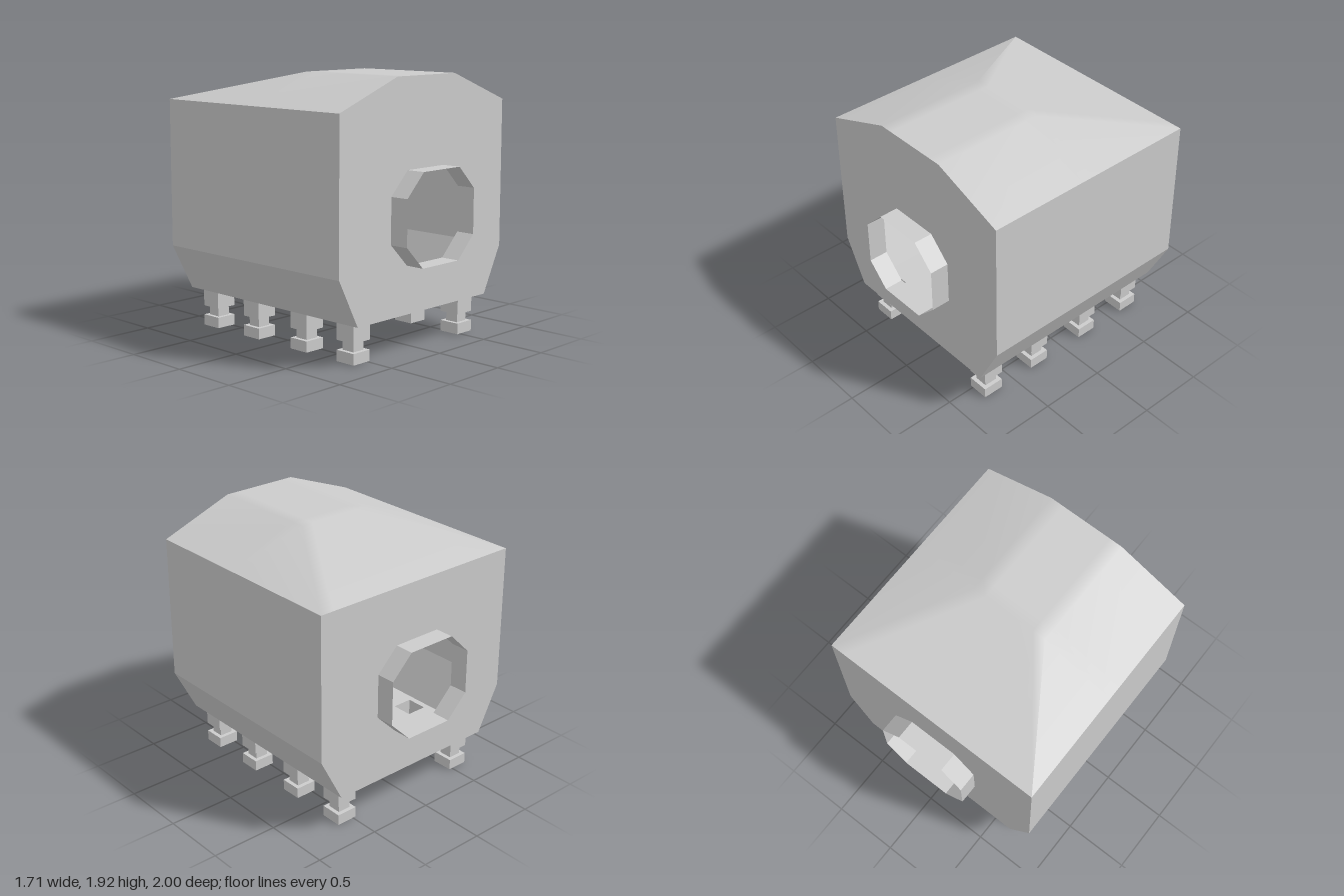
import * as THREE from 'three';

const material = new THREE.MeshStandardMaterial({ color: 0xcccccc, side: THREE.DoubleSide });
const W = 0.857;       // half width and half depth of the body
const EAVE = 1.715, RIDGE = 1.925, RIDGE_X = 0.3;
const BELT = 0.63, FLOOR = 0.285, FLOOR_X = 0.68;

// Cut-corner outline shared by the wall openings and the collars
const octagon = [
  [0.355, 0.795], [0.355, 1.125], [0.19, 1.29], [-0.19, 1.29],
  [-0.355, 1.125], [-0.355, 0.795], [-0.19, 0.63], [0.19, 0.63],
];

// Skin between successive rows of points
function loft(name, rows, smooth = false) {
  const n = rows[0].length, index = [];
  for (let i = 0; i < rows.length - 1; i++) {
    for (let j = 0; j < n - 1; j++) {
      const a = i * n + j, c = a + n;
      index.push(a, a + 1, c, a + 1, c + 1, c);
    }
  }
  let geometry = new THREE.BufferGeometry();
  geometry.setAttribute('position', new THREE.Float32BufferAttribute(rows.flat(2), 3));
  geometry.setIndex(index);
  if (!smooth) geometry = geometry.toNonIndexed();
  geometry.computeVertexNormals();
  const mesh = new THREE.Mesh(geometry, material);
  mesh.name = name;
  return mesh;
}

function polygon(points) {
  return new THREE.Shape(points.map(([x, y]) => new THREE.Vector2(x, y)));
}

// Flat panel with polygonal openings
function panel(name, outline, holes) {
  const shape = polygon(outline);
  shape.holes = holes.map(polygon);
  const mesh = new THREE.Mesh(new THREE.ShapeGeometry(shape), material);
  mesh.name = name;
  return mesh;
}

const square = (cx, cz, r) =>
  [[1, 1], [1, -1], [-1, -1], [-1, 1], [1, 1]].map(([x, z]) => [cx + x * r, cz + z * r]);

export function createModel() {
  const model = new THREE.Group();
  model.name = 'hollowBoothOnLegs';

  // End walls: gabled front, level back
  const base = [[-W, EAVE], [-W, BELT], [-FLOOR_X, FLOOR], [FLOOR_X, FLOOR], [W, BELT], [W, EAVE]];
  const front = panel('frontWall', [...base, [RIDGE_X, RIDGE], [-RIDGE_X, RIDGE]], [octagon]);
  front.position.z = W;
  const back = panel('backWall', base, [octagon]);
  back.rotation.y = Math.PI;
  back.position.z = -W;
  model.add(front, back);

  // Side walls and the tapered skirts below them
  for (const s of [1, -1]) {
    const strip = (name, lower, upper) => loft(name, [-s * W, s * W].map(
      (z) => [lower, upper].map(([x, y]) => [s * x, y, z])));
    const side = s > 0 ? 'left' : 'right';
    model.add(strip(side + 'Wall', [W, BELT], [W, EAVE]));
    model.add(strip(side + 'Skirt', [FLOOR_X, FLOOR], [W, BELT]));
  }

  // Roof: constant section at the front, falling to the eave at the back
  model.add(loft('roof', [W, 0.1, 0, -W].map((z) => {
    const t = Math.max(0, -z / W);
    const h = THREE.MathUtils.lerp(RIDGE_X, W, t);
    const y = THREE.MathUtils.lerp(RIDGE, EAVE, t);
    return [[-W, EAVE, z], [-h, y, z], [0.1 - h, y, z], [h - 0.1, y, z], [h, y, z], [W, EAVE, z]];
  }), true));

  // Open collars around the openings
  const ring = [...octagon, octagon[0]];
  for (const [name, z0, z1] of [['frontCollar', W, 1], ['backCollar', -1, -W]]) {
    model.add(loft(name, [z0, z1].map((z) => ring.map(([x, y]) => [x, y, z]))));
  }

  // Hollow stepped legs, open at both ends
  const footprints = [];
  const section = [[0, 0.08], [0.08, 0.08], [0.08, 0.05], [0.15, 0.05], [0.15, 0.08], [FLOOR, 0.08]];
  for (const x of [-0.555, 0.555]) {
    for (const z of [0.697, 0.248, -0.245, -0.693]) {
      model.add(loft('leg', section.map(([y, r]) => square(x, z, r).map(([px, pz]) => [px, y, pz]))));
      footprints.push(square(x, z, 0.08).slice(0, 4));
    }
  }

  // Floor with an opening above each leg
  const floor = panel('floor', [[-FLOOR_X, -W], [FLOOR_X, -W], [FLOOR_X, W], [-FLOOR_X, W]], footprints);
  floor.rotation.x = Math.PI / 2;
  floor.position.y = FLOOR;
  model.add(floor);

  return model;
}
